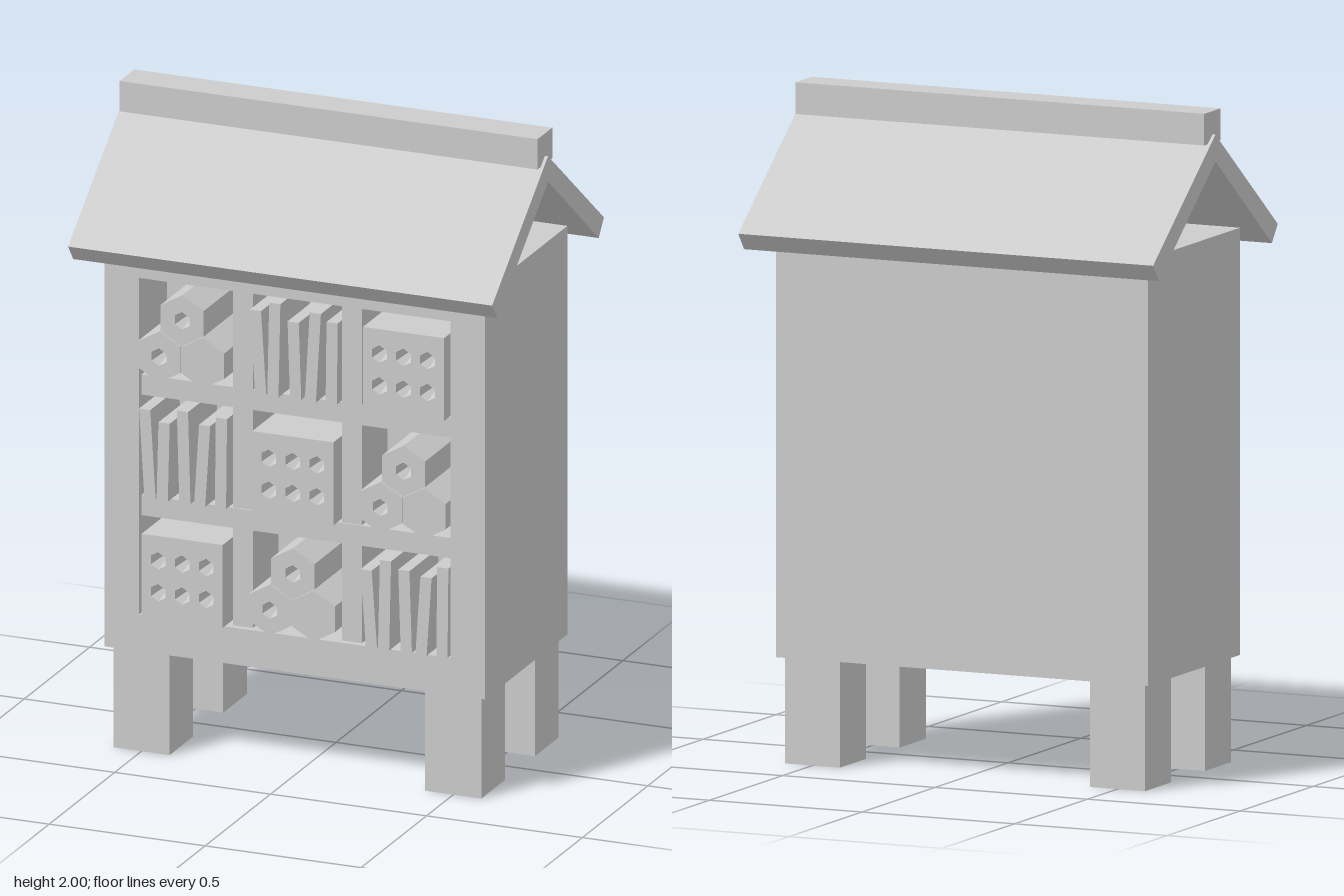
import * as THREE from 'three';

const timber = new THREE.MeshStandardMaterial({ color: 0xcccccc, flatShading: true, side: THREE.DoubleSide });
timber.name = 'plain timber';

const FRONT = 0.315;      // face of the cabinet
const BACK = 0.1;         // back wall of the compartments
const COLUMNS = [-0.355, 0, 0.355];
const ROWS = [1.18, 0.805, 0.435];   // floor height of each row
const HOLE = 0.027;

function add(parent, name, geometry) {
  const mesh = new THREE.Mesh(geometry, timber);
  mesh.name = name;
  parent.add(mesh);
  return mesh;
}

// Box given by its lower and upper corners
function box(parent, name, x0, x1, y0, y1, z0, z1) {
  const mesh = add(parent, name, new THREE.BoxGeometry(x1 - x0, y1 - y0, z1 - z0));
  mesh.position.set((x0 + x1) / 2, (y0 + y1) / 2, (z0 + z1) / 2);
  return mesh;
}

function polygon(points) {
  return points.map(([x, y]) => new THREE.Vector2(x, y));
}

function rectangle(x0, x1, y0, y1) {
  return polygon([[x0, y0], [x1, y0], [x1, y1], [x0, y1]]);
}

// Pointed-top hexagon
function hexagon(x, y, r) {
  return polygon(Array.from({ length: 6 }, (_, i) => {
    const a = Math.PI / 2 + i * Math.PI / 3;
    return [x + r * Math.cos(a), y + r * Math.sin(a)];
  }));
}

// Extrude an outline from z0 to z1, with optional holes
function slab(parent, name, outline, holes, z0, z1) {
  const shape = new THREE.Shape(outline);
  shape.holes = holes.map((h) => new THREE.Path(h));
  const geometry = new THREE.ExtrudeGeometry(shape, { depth: z1 - z0, bevelEnabled: false });
  geometry.translate(0, 0, z0);
  return add(parent, name, geometry);
}

// Tapered lining of a drilled nesting hole
function drill(parent, x, y, z) {
  const depth = 0.12;
  const geometry = new THREE.CylinderGeometry(HOLE, 0.001, depth, 6, 1, true).rotateX(Math.PI / 2);
  add(parent, 'nestingHole', geometry).position.set(x, y, z - depth / 2);
}

// Three stacked hexagonal tubes, two of them drilled
function tubes(parent, cx, floor) {
  const group = new THREE.Group();
  group.name = 'hexagonTubes';
  parent.add(group);
  for (const [dx, dy, z, drilled] of [
    [0, 0.2, 0.33, true], [-0.07, 0.08, 0.34, true], [0.07, 0.08, 0.34, false],
  ]) {
    const x = cx + dx, y = floor + dy;
    slab(group, 'tube', hexagon(x, y, 0.08), drilled ? [hexagon(x, y, HOLE)] : [], BACK, z);
    if (drilled) drill(group, x, y, z);
  }
}

// Block with a grid of six holes
function block(parent, cx, floor) {
  const group = new THREE.Group();
  group.name = 'drilledBlock';
  parent.add(group);
  const spots = [];
  for (const dx of [-0.077, 0, 0.077])
    for (const dy of [0.082, 0.182]) spots.push([cx + dx, floor + dy]);
  const outline = rectangle(cx - 0.13, cx + 0.13, floor, floor + 0.26);
  slab(group, 'block', outline, spots.map(([x, y]) => hexagon(x, y, HOLE)), BACK, 0.33);
  spots.forEach(([x, y]) => drill(group, x, y, 0.33));
}

// Five leaning sticks
function sticks(parent, cx, floor, heights) {
  const group = new THREE.Group();
  group.name = 'sticks';
  parent.add(group);
  const feet = [-0.108, -0.066, 0.004, 0.054, 0.118];
  const tops = [-0.125, -0.06, -0.004, 0.07, 0.121];
  heights.forEach((h, i) => {
    const b = cx + feet[i], t = cx + tops[i], w = 0.018;
    const outline = polygon([[b - w, floor], [b + w, floor], [t + w, floor + h], [t - w, floor + h]]);
    slab(group, 'stick', outline, [], BACK, i % 2 ? 0.325 : 0.318);
  });
}

export function createModel() {
  const model = new THREE.Group();
  model.name = 'insectHouse';

  // Legs
  for (const sx of [-1, 1])
    for (const sz of [-1, 1])
      add(model, 'leg', new THREE.BoxGeometry(0.18, 0.32, 0.18)).position.set(sx * 0.5, 0.16, sz * 0.205);

  // Cabinet with its front opening
  box(model, 'cabinetBack', -0.61, 0.61, 0.32, 1.6, -FRONT, BACK);
  slab(model, 'cabinetFrame', rectangle(-0.61, 0.61, 0.32, 1.6),
    [rectangle(-0.5, 0.5, 0.435, 1.49)], BACK, FRONT);

  // Shelves and dividers, set slightly back
  const inset = FRONT - 0.02;
  for (const y of [0.74, 1.118]) box(model, 'shelf', -0.5, 0.5, y, y + 0.063, BACK, inset);
  ROWS.forEach((floor, i) => {
    const top = [1.49, 1.118, 0.74][i];
    for (const s of [-1, 1])
      box(model, 'divider', s * 0.175 - 0.032, s * 0.175 + 0.032, floor, top, BACK, inset);
  });

  // Compartment contents
  tubes(model, COLUMNS[0], ROWS[0]);
  sticks(model, COLUMNS[1], ROWS[0], [0.26, 0.293, 0.24, 0.28, 0.255]);
  block(model, COLUMNS[2], ROWS[0]);
  sticks(model, COLUMNS[0], ROWS[1], [0.277, 0.245, 0.287, 0.255, 0.282]);
  block(model, COLUMNS[1], ROWS[1]);
  tubes(model, COLUMNS[2], ROWS[1]);
  block(model, COLUMNS[0], ROWS[2]);
  tubes(model, COLUMNS[1], ROWS[2]);
  sticks(model, COLUMNS[2], ROWS[2], [0.24, 0.28, 0.255, 0.245, 0.28]);

  // Pitched roof, drawn as an end profile and run along x
  const roof = slab(model, 'roof', polygon([
    [0, 1.93], [-0.427, 1.6], [-0.387, 1.548], [0, 1.85], [0.387, 1.548], [0.427, 1.6],
  ]), [], -0.68, 0.68);
  roof.rotation.y = Math.PI / 2;

  // Ridge beam
  box(model, 'ridgeBeam', -0.67, 0.67, 1.905, 2, -0.056, 0.056);

  return model;
}
